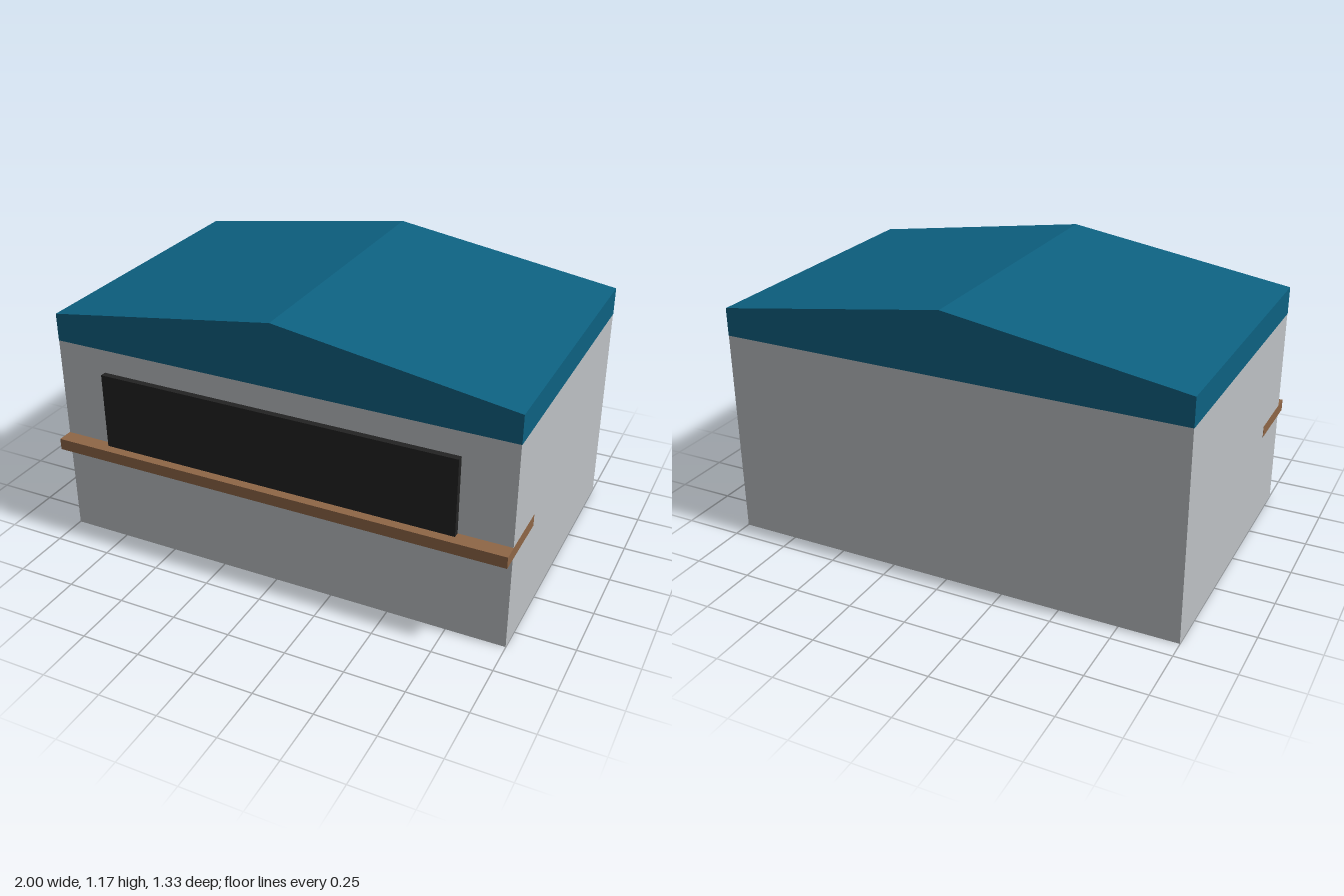
import * as THREE from 'three';

const paint = (name, color) => {
  const material = new THREE.MeshStandardMaterial({ color });
  material.name = name;
  return material;
};

// Box given by its minimum and maximum corners
function block(name, material, [x0, y0, z0], [x1, y1, z1]) {
  const geometry = new THREE.BoxGeometry(x1 - x0, y1 - y0, z1 - z0);
  geometry.translate((x0 + x1) / 2, (y0 + y1) / 2, (z0 + z1) / 2);
  const mesh = new THREE.Mesh(geometry, material);
  mesh.name = name;
  return mesh;
}

export function createModel() {
  const wallGrey = paint('wall grey', 0xbdc1c4);
  const roofBlue = paint('roof blue', 0x0d6181);
  const counterWood = paint('counter wood', 0x8e6646);
  const hatchBlack = paint('hatch black', 0x222222);

  const back = -0.667, front = 0.6;
  const model = new THREE.Group();
  model.name = 'kiosk';

  // Walls, a hair narrower than the counter whose ends show through them
  model.add(block('walls', wallGrey, [-0.999, 0, back], [0.999, 0.895, front]));

  // Serving hatch and counter
  model.add(block('servingHatch', hatchBlack, [-0.78, 0.46, front - 0.02], [0.78, 0.793, 0.627]));
  model.add(block('counter', counterWood, [-1, 0.41, 0.353], [1, 0.46, 0.667]));

  // Low gabled roof with a straight fascia, extruded from back to front
  const gable = new THREE.Shape([
    [-1, 0.895], [1, 0.895], [1, 1.015], [0, 1.167], [-1, 1.015],
  ].map(([x, y]) => new THREE.Vector2(x, y)));
  const roofGeometry = new THREE.ExtrudeGeometry(gable, { depth: front - back, bevelEnabled: false });
  roofGeometry.translate(0, 0, back);
  const roof = new THREE.Mesh(roofGeometry, roofBlue);
  roof.name = 'roof';
  model.add(roof);

  return model;
}
